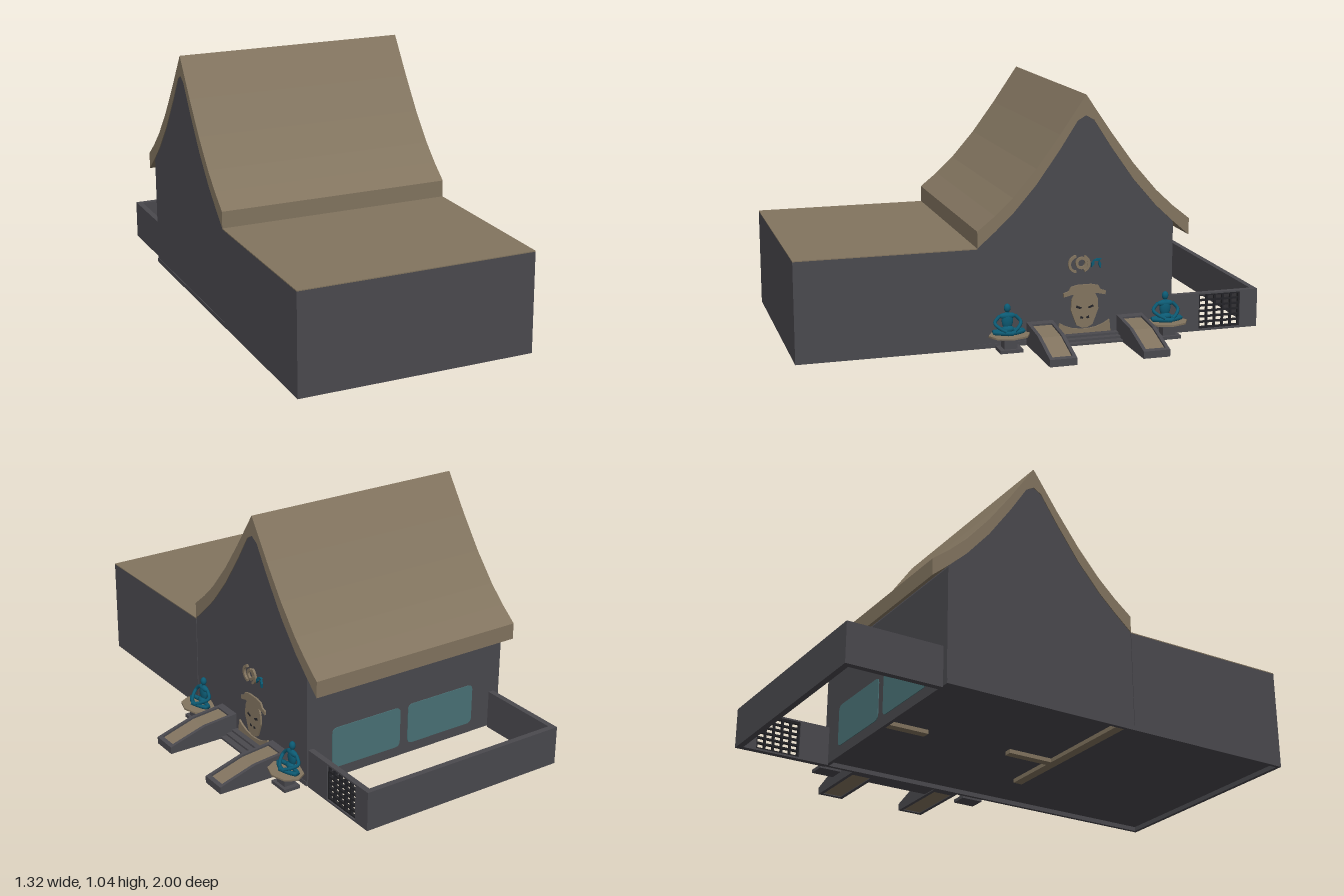
import * as THREE from 'three';

const mat = (name, color, side = THREE.FrontSide) => {
  const m = new THREE.MeshStandardMaterial({ color, side });
  m.name = name;
  return m;
};

export function createModel() {
  const root = new THREE.Group();
  root.name = 'templeHall';
  const wall = mat('charcoalWall', 0x4a494e);
  const tan = mat('tanTile', 0x82745f);
  const glass = mat('windowGlass', 0x4a7276);
  const teal = mat('tealStatue', 0x0c5a73);
  const dark = mat('darkLattice', 0x232327);

  const add = (name, geo, m, parent = root) => {
    const mesh = new THREE.Mesh(geo, m);
    mesh.name = name;
    parent.add(mesh);
    return mesh;
  };
  // box from min/max bounds
  const box = (name, x0, x1, y0, y1, z0, z1, m, parent) => {
    const b = add(name, new THREE.BoxGeometry(x1 - x0, y1 - y0, z1 - z0), m, parent);
    b.position.set((x0 + x1) / 2, (y0 + y1) / 2, (z0 + z1) / 2);
    return b;
  };
  const poly = pts => new THREE.Shape(pts.map(p => new THREE.Vector2(p[0], p[1])));
  const extrude = (shape, depth) =>
    new THREE.ExtrudeGeometry(shape, { depth, bevelEnabled: false, curveSegments: 10 });
  // side profile given as (-z, y), swept from x0 to x1
  const sideSlab = (name, shape, x0, x1, m, parent) => {
    const g = extrude(shape, x1 - x0);
    g.rotateY(Math.PI / 2);
    g.translate(x0, 0, 0);
    return add(name, g, m, parent);
  };

  const X0 = -0.66, X1 = 0.335, RIDGE = 0.21;

  // Roof: swept concave slopes mirrored about the ridge
  const outer = [[0.46, 0.5], [0.385, 0.56], [0.31, 0.63], [0.21, 0.745], [0.11, 0.88], [0, 1.04]];
  const inner = [[0.46, 0.43], [0.385, 0.495], [0.31, 0.565], [0.21, 0.68], [0.11, 0.82], [0.035, 0.935], [0, 0.955]];
  const arch = half => [
    ...half.map(([d, y]) => [RIDGE - d, y]),
    ...half.slice(0, -1).reverse().map(([d, y]) => [RIDGE + d, y]),
  ];
  sideSlab('roof', poly([...arch(outer), ...arch(inner).reverse()]), X0, X1, tan);

  // Main hall with gables
  const hall = [[-0.25, 0.025], [-0.25, 0.43], ...arch(inner).slice(1, -1), [0.6, 0.485], [0.6, 0.025]]
    .filter(([u, y]) => u <= 0.6);
  sideSlab('hall', poly(hall), X0 + 0.003, X1 - 0.003, wall);

  // Front block with flat roof
  box('frontBlock', X0, X1, 0.025, 0.426, 0.25, 1, wall);
  box('flatRoof', X0, X1, 0.426, 0.43, 0.25, 1, tan);

  // Skirting rim and partition footings underneath
  box('skirting', X0, X1, 0.006, 0.025, 0.985, 1, wall);
  box('skirting', X0, X1, 0.006, 0.025, -0.6, -0.585, wall);
  box('skirting', X0, X0 + 0.015, 0.006, 0.025, -0.585, 0.985, wall);
  box('skirting', X1 - 0.015, X1, 0.006, 0.025, -0.585, 0.985, wall);
  box('partition', -0.645, 0.087, 0.008, 0.025, 0.17, 0.21, tan);
  box('partition', -0.195, -0.16, 0.008, 0.025, -0.03, 0.17, tan);
  box('partition', -0.195, -0.16, 0.008, 0.025, -0.585, -0.41, tan);

  // Rear windows with rounded corners
  for (const cx of [0.04, -0.34]) {
    const w = 0.17, y0 = 0.05, y1 = 0.23, r = 0.025, s = new THREE.Shape();
    s.moveTo(-w + r, y0).lineTo(w - r, y0).quadraticCurveTo(w, y0, w, y0 + r)
      .lineTo(w, y1 - r).quadraticCurveTo(w, y1, w - r, y1)
      .lineTo(-w + r, y1).quadraticCurveTo(-w, y1, -w, y1 - r)
      .lineTo(-w, y0 + r).quadraticCurveTo(-w, y0, -w + r, y0);
    add('rearWindow', extrude(s, 0.004), glass).position.set(cx, 0, -0.603);
  }

  // Yard fence
  const F0 = -0.63, F1 = 0.325, T = 0.025;
  box('fenceBack', F0, F1, 0, 0.167, -1, -1 + T, wall);
  box('fenceRight', F0, F0 + T, 0, 0.167, -1 + T, -0.6, wall);
  const fence = poly([[0.6, 0], [1 - T, 0], [1 - T, 0.167], [0.6, 0.167]]);
  fence.holes.push(new THREE.Path([[0.73, 0.008], [0.73, 0.16], [0.92, 0.16], [0.92, 0.008]]
    .map(p => new THREE.Vector2(...p))));
  sideSlab('fenceLeft', fence, F1 - T, F1, wall);
  for (let i = 0; i <= 5; i++) {
    const z = -0.733 - i * 0.0368;
    box('latticeUpright', F1 - 0.019, F1 - 0.006, 0.008, 0.16, z - 0.004, z + 0.004, dark);
  }
  for (let i = 0; i <= 6; i++) {
    const y = 0.012 + i * 0.024;
    box('latticeRail', F1 - 0.018, F1 - 0.007, y - 0.004, y + 0.004, -0.92, -0.73, dark);
  }

  // Entrance steps
  [0.415, 0.388, 0.361].forEach((x, i) =>
    box('step', X1 - 0.003, x, 0.01 + i * 0.009, 0.019 + i * 0.009, -0.355, -0.075, wall));

  // Sloping balustrades: dark rims around a sunken tan bed
  const slope = [[0.335, 0.105], [0.38, 0.1], [0.49, 0.089], [0.655, 0.038]];
  const rim = poly([[0.335, 0.008], ...slope, [0.655, 0.008]]);
  const bed = poly([[0.365, 0.012], [0.365, 0.094], [0.49, 0.081], [0.64, 0.034], [0.64, 0.012]]);
  for (const cz of [-0.41, -0.015]) {
    const g = new THREE.Group();
    g.name = 'balustrade';
    g.position.z = cz;
    root.add(g);
    for (const z of [-0.057, 0.042]) add('rimSide', extrude(rim, 0.015), wall, g).position.z = z;
    add('bed', extrude(bed, 0.084), tan, g).position.z = -0.042;
    add('rimTop', extrude(poly([[0.335, 0.008], [0.335, 0.105], [0.365, 0.1015], [0.365, 0.008]]), 0.084), wall, g).position.z = -0.042;
    add('rimFoot', extrude(poly([[0.638, 0.008], [0.638, 0.043], [0.655, 0.038], [0.655, 0.008]]), 0.084), wall, g).position.z = -0.042;
  }

  // Octagonal tables with seated statues
  const ball = (name, x, y, z, sx, sy, sz, m, g) => {
    const b = add(name, new THREE.SphereGeometry(1, 14, 10), m, g);
    b.position.set(x, y, z);
    b.scale.set(sx, sy, sz);
  };
  const limb = (name, pts, r, g) => add(name, new THREE.TubeGeometry(
    new THREE.CatmullRomCurve3(pts.map(p => new THREE.Vector3(...p))), 12, r, 7), teal, g);
  for (const cz of [0.135, -0.555]) {
    const g = new THREE.Group();
    g.name = 'statueTable';
    g.position.set(0.403, 0, cz);
    root.add(g);
    const top = add('tableTop', new THREE.CylinderGeometry(1, 1, 0.007, 8).toNonIndexed(), tan, g);
    top.scale.set(0.067, 1, 0.088);
    top.position.y = 0.0765;
    box('tableStem', -0.024, 0.024, 0.022, 0.073, -0.028, 0.028, wall, g);
    box('tableFoot', -0.037, 0.037, 0.01, 0.024, -0.048, 0.048, wall, g);
    box('tableCollar', -0.037, 0.037, 0.065, 0.073, -0.045, 0.045, wall, g);

    ball('hips', -0.025, 0.095, 0, 0.018, 0.015, 0.028, teal, g);
    ball('torso', -0.03, 0.13, 0, 0.014, 0.038, 0.024, teal, g);
    ball('shoulders', -0.031, 0.15, 0, 0.013, 0.014, 0.037, teal, g);
    add('neck', new THREE.CylinderGeometry(0.007, 0.008, 0.025, 8), teal, g).position.set(-0.031, 0.167, 0);
    ball('head', -0.031, 0.183, 0, 0.013, 0.018, 0.014, teal, g);
    for (const s of [-1, 1]) {
      limb('arm', [[-0.031, 0.152, s * 0.032], [-0.024, 0.125, s * 0.055], [0.0, 0.108, s * 0.04], [0.02, 0.096, s * 0.016]], 0.0075, g);
      limb('leg', [[-0.025, 0.091, s * 0.018], [-0.012, 0.09, s * 0.066], [0.006, 0.089, s * 0.04], [0.022, 0.088, -s * 0.012]], 0.0095, g);
    }
  }

  // Carved mask beside the steps, as thin plates on the side wall
  const mask = new THREE.Group();
  mask.name = 'carvedMask';
  root.add(mask);
  const plate = (name, pts, m, h = 0.005) => sideSlab(name, poly(pts), X1 - 0.004, X1 + h, m, mask);
  const mirrored = half => [...half, ...half.slice().reverse().map(([u, y]) => [2 * RIDGE - u, y])];
  plate('maskFace', mirrored([[0.2, 0.062], [0.175, 0.075], [0.165, 0.1], [0.15, 0.14], [0.153, 0.185], [0.165, 0.208]]), tan);
  plate('maskBrow', mirrored([[0.155, 0.207], [0.118, 0.198], [0.118, 0.215], [0.14, 0.222], [0.15, 0.24], [0.18, 0.247]]), tan);
  plate('maskBase', mirrored([[0.095, 0.04], [0.1, 0.09], [0.125, 0.075], [0.16, 0.062], [0.2, 0.057]]), tan);
  for (const s of [-1, 1]) {
    const at = (u, y) => [RIDGE + s * u, y];
    plate('maskEye', [at(0.012, 0.15), at(0.035, 0.16), at(0.04, 0.152), at(0.02, 0.144)], dark, 0.007);
    plate('maskNostril', [at(0.006, 0.108), at(0.018, 0.114), at(0.02, 0.104), at(0.01, 0.101)], dark, 0.007);
  }

  // Wall ornament: tan ring and curls with teal leaves
  const ornament = new THREE.Group();
  ornament.name = 'wallOrnament';
  root.add(ornament);
  const arc = (name, u, y, r, a0, a1, m) => {
    const s = new THREE.Shape();
    s.absarc(u, y, r, a0, a1, false);
    s.absarc(u, y, r - 0.011, a1, a0, true);
    sideSlab(name, s, X1 - 0.004, X1 + 0.007, m, ornament);
  };
  arc('ornamentCurl', 0.175, 0.337, 0.038, 1.7, 4.6, tan);
  arc('ornamentRing', 0.195, 0.34, 0.026, 0, 6.28, tan);
  arc('ornamentCurl', 0.195, 0.337, 0.038, -1.2, 1.2, tan);
  for (const [u, y, a] of [[0.245, 0.335, 1.2], [0.265, 0.35, 0.2], [0.275, 0.33, 1.7]]) {
    const leaf = [[-0.018, 0], [0, 0.006], [0.018, 0], [0, -0.006]].map(([p, q]) =>
      [u + p * Math.cos(a) - q * Math.sin(a), y + p * Math.sin(a) + q * Math.cos(a)]);
    sideSlab('ornamentLeaf', poly(leaf), X1 - 0.004, X1 + 0.006, teal, ornament);
  }
  return root;
}
